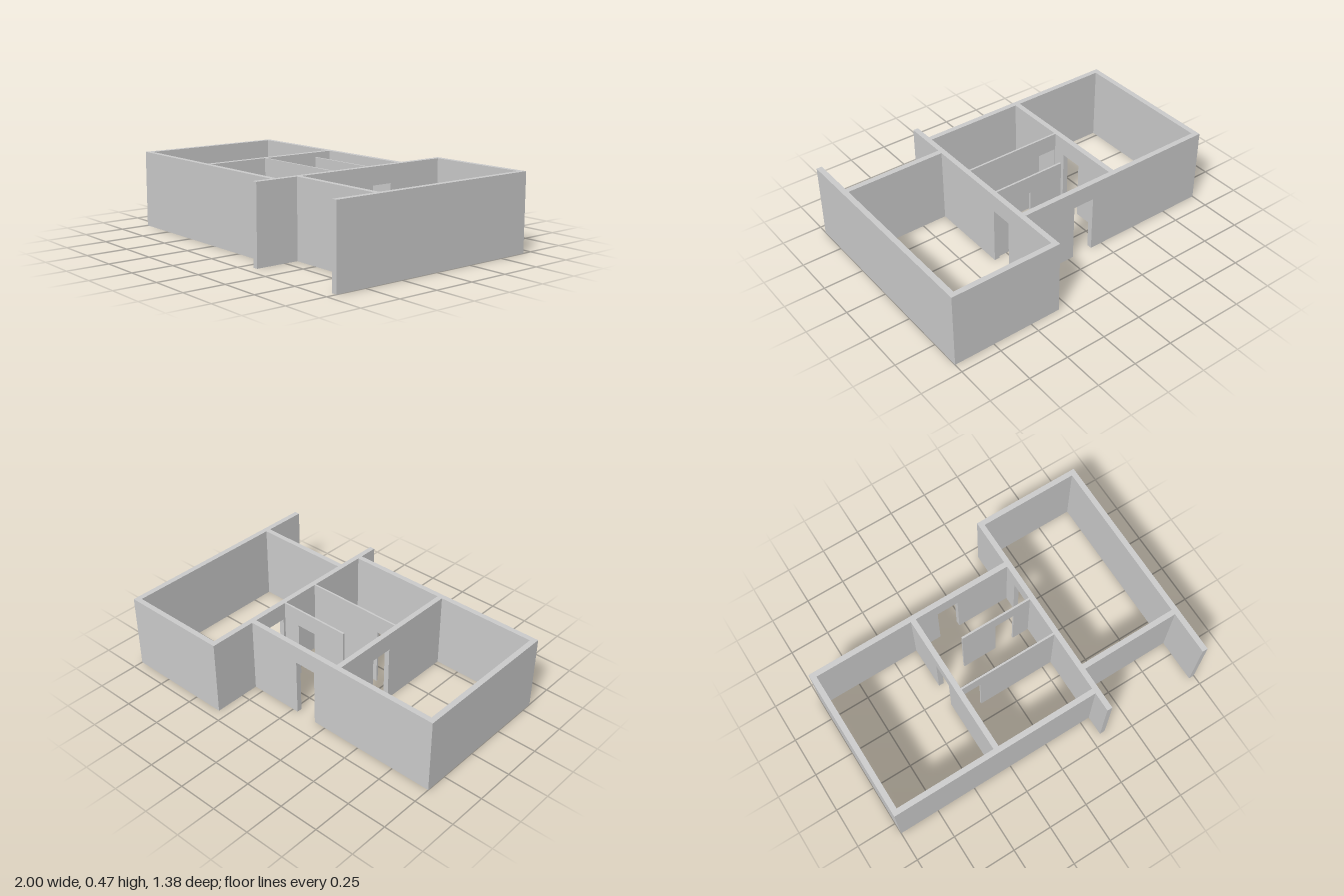
import * as THREE from 'three';

const HEIGHT = 0.47, DOOR = 0.36;
const material = new THREE.MeshStandardMaterial({ color: 0xcccccc });

// Wall running from a to b along x or z, filling c0..c1 on the other axis.
// An optional door [from, to] is cut out from the floor up.
function wall(name, axis, a, b, c0, c1, door) {
  const outline = [[a, 0]];
  if (door) outline.push([door[0], 0], [door[0], DOOR], [door[1], DOOR], [door[1], 0]);
  outline.push([b, 0], [b, HEIGHT], [a, HEIGHT]);
  const shape = new THREE.Shape(outline.map(([u, v]) => new THREE.Vector2(u, v)));
  const geometry = new THREE.ExtrudeGeometry(shape, { depth: c1 - c0, bevelEnabled: false });
  if (axis === 'z') geometry.rotateY(-Math.PI / 2).translate(c1, 0, 0);
  else geometry.translate(0, 0, c0);
  const mesh = new THREE.Mesh(geometry, material);
  mesh.name = name;
  return mesh;
}

export function createModel() {
  const house = new THREE.Group();
  house.name = 'houseWalls';

  // Main block: outer walls
  house.add(
    wall('mainFrontWall', 'x', -1, 0.31, 0.535, 0.568),
    wall('mainBackWall', 'x', -1, 0.31, -0.388, -0.355, [-0.172, -0.035]),
    wall('mainEndWall', 'z', -0.355, 0.535, -1, -0.966),
  );

  // Main block: room divider and thin partitions
  house.add(
    wall('roomDivider', 'z', -0.355, 0.535, -0.346, -0.313, [-0.085, 0.055]),
    wall('frontPartition', 'x', -0.313, 0.31, 0.136, 0.148, [-0.308, -0.19]),
    wall('backPartition', 'x', -0.15, 0.31, -0.121, -0.109, [0.073, 0.2]),
  );

  // Side wing: long walls run past its front wall to form a porch
  house.add(
    wall('wingInnerWall', 'z', -0.688, 0.688, 0.31, 0.343, [-0.273, -0.135]),
    wall('wingOuterWall', 'z', -0.688, 0.688, 0.966, 1),
    wall('wingBackWall', 'x', 0.343, 0.966, -0.688, -0.655),
    wall('wingFrontWall', 'x', 0.343, 0.966, 0.383, 0.416),
  );

  return house;
}
